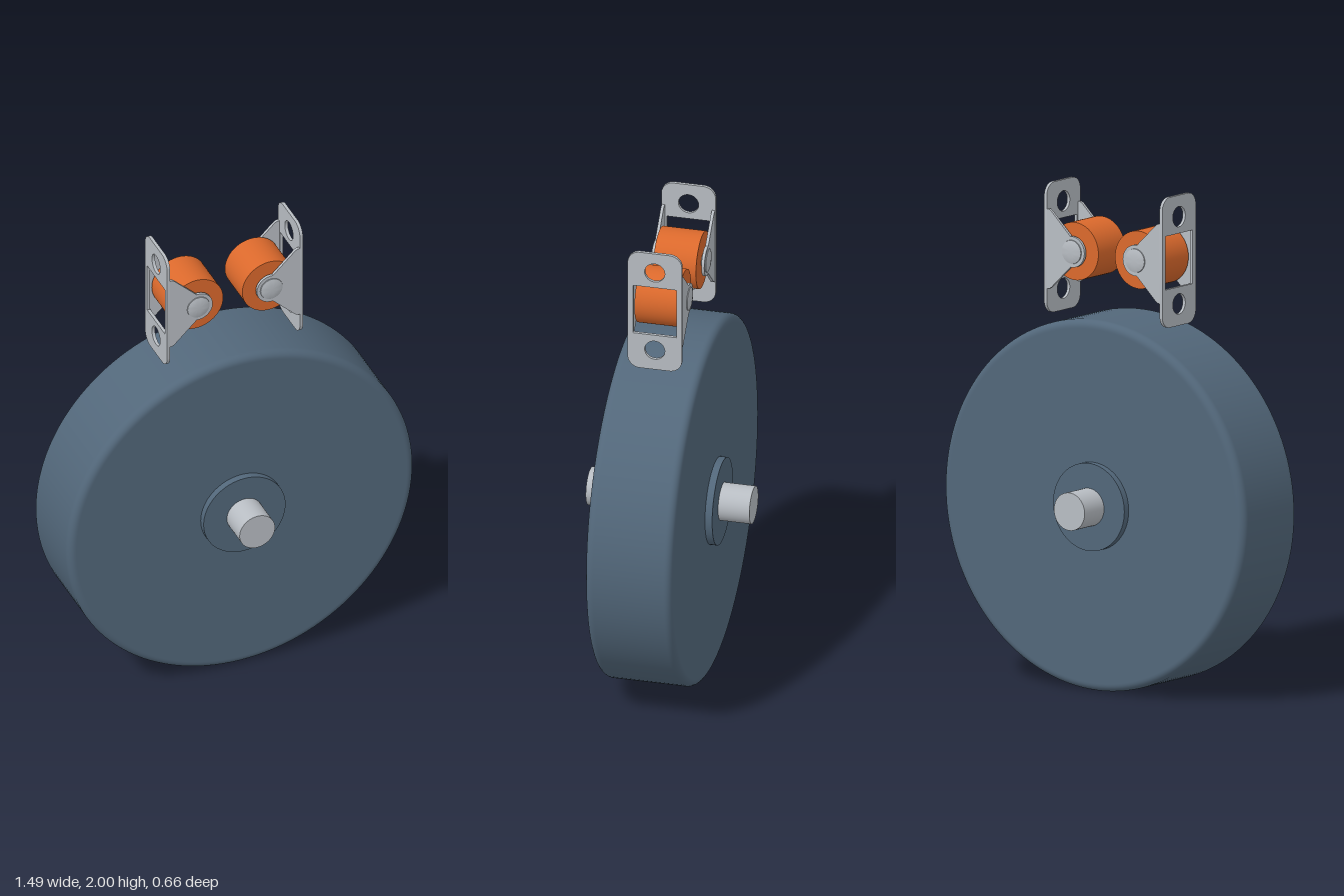
import * as THREE from 'three';
import { toCreasedNormals } from 'three/addons/utils/BufferGeometryUtils.js';

const mat = (name, color) => {
  const m = new THREE.MeshStandardMaterial({ color });
  m.name = name;
  return m;
};

export function createModel() {
  const slate = mat('slate rubber', 0x52677a);
  const metal = mat('light metal', 0xb8bdc3);
  const orange = mat('orange roller', 0xdb692c);

  const model = new THREE.Group();
  model.name = 'wheelWithGuideRollers';

  const add = (parent, name, geometry, material, x = 0, y = 0, z = 0) => {
    const mesh = new THREE.Mesh(geometry, material);
    mesh.name = name;
    mesh.position.set(x, y, z);
    parent.add(mesh);
    return mesh;
  };
  // cylinder lying along z
  const rod = (r, length, seg = 48) =>
    new THREE.CylinderGeometry(r, r, length, seg).rotateX(Math.PI / 2);
  const extrude = (shape, depth) => toCreasedNormals(
    new THREE.ExtrudeGeometry(shape, { depth, bevelEnabled: false, curveSegments: 20 }), 0.6);

  // Main wheel: disc with softly rounded rims
  const wheelY = 0.746, R = 0.743, H = 0.176, f = 0.03;
  const half = [];
  for (let i = 0; i <= 8; i++) {
    const a = (i / 8) * Math.PI / 2;
    half.push([R - f + f * Math.cos(a), H - f + f * Math.sin(a)]);
  }
  half.unshift([R, H - f - 0.004]);
  half.push([R - f - 0.004, H], [0, H]);
  const profile = [
    ...half.map(([r, h]) => new THREE.Vector2(r, -h)).reverse(),
    ...half.map(([r, h]) => new THREE.Vector2(r, h)),
  ];
  add(model, 'wheel', new THREE.LatheGeometry(profile, 128).rotateX(Math.PI / 2), slate, 0, wheelY);
  add(model, 'hub', rod(0.176, 0.41, 64), slate, 0, wheelY);
  add(model, 'axle', rod(0.076, 0.664), metal, 0, wheelY);

  // Bracket dimensions (built on the +x side)
  const rollerX = 0.157, rollerY = 1.738;
  const plateX = 0.279, plateT = 0.013, bottom = 1.477, top = 2.0, w = 0.11, c = 0.05;

  // Mounting plate: rounded rectangle with two screw holes and a window
  const plate = new THREE.Shape();
  plate.moveTo(-w + c, bottom);
  plate.lineTo(w - c, bottom);
  plate.absarc(w - c, bottom + c, c, -Math.PI / 2, 0);
  plate.lineTo(w, top - c);
  plate.absarc(w - c, top - c, c, 0, Math.PI / 2);
  plate.lineTo(-w + c, top);
  plate.absarc(-w + c, top - c, c, Math.PI / 2, Math.PI);
  plate.lineTo(-w, bottom + c);
  plate.absarc(-w + c, bottom + c, c, Math.PI, Math.PI * 1.5);
  for (const y of [1.564, 1.914]) {
    plate.holes.push(new THREE.Path().absarc(0, y, 0.041, 0, Math.PI * 2, true));
  }
  const [wz, y0, y1] = [0.088, 1.632, 1.847];
  plate.holes.push(new THREE.Path([
    new THREE.Vector2(-wz, y0), new THREE.Vector2(-wz, y1),
    new THREE.Vector2(wz, y1), new THREE.Vector2(wz, y0),
  ]));
  const plateGeo = extrude(plate, plateT).rotateY(Math.PI / 2);

  // Side ear: tapers from the plate to a rounded tip around the pin
  const tipR = 0.062, a = 0.9;
  const ear = new THREE.Shape();
  ear.moveTo(plateX + 0.006, rollerY - 0.16);
  ear.lineTo(plateX + 0.006, rollerY + 0.16);
  ear.lineTo(0.274, rollerY + 0.16);
  ear.quadraticCurveTo(0.264, rollerY + 0.16, 0.25, rollerY + 0.145);
  ear.absarc(rollerX, rollerY, tipR, Math.PI - a - 0.45 * 2 + 0.12, Math.PI + a + 0.45 * 2 - 0.12, false);
  ear.lineTo(0.25, rollerY - 0.145);
  ear.quadraticCurveTo(0.264, rollerY - 0.16, 0.274, rollerY - 0.16);
  const earGeo = extrude(ear, 0.012);

  // Low domed pin head, axis along +z
  const headGeo = toCreasedNormals(new THREE.LatheGeometry([
    [0.048, 0], [0.047, 0.003], [0.038, 0.006], [0.02, 0.0085], [0, 0.009],
  ].map(([r, h]) => new THREE.Vector2(r, h)), 32).rotateX(Math.PI / 2), 0.6);

  // Two identical brackets, one turned half way round
  for (const side of ['left', 'right']) {
    const bracket = new THREE.Group();
    bracket.name = side + 'Bracket';
    if (side === 'right') bracket.rotation.y = Math.PI;
    add(bracket, 'mountingPlate', plateGeo, metal, plateX);
    add(bracket, 'roller', rod(0.116, 0.174, 64), orange, rollerX, rollerY);
    add(bracket, 'pin', rod(0.028, 0.21, 32), metal, rollerX, rollerY);
    for (const s of [1, -1]) {
      add(bracket, 'ear', earGeo, metal, 0, 0, s > 0 ? 0.096 : -0.108);
      const head = add(bracket, 'pinHead', headGeo, metal, rollerX, rollerY, s * 0.108);
      if (s < 0) head.rotation.y = Math.PI;
    }
    model.add(bracket);
  }
  return model;
}
